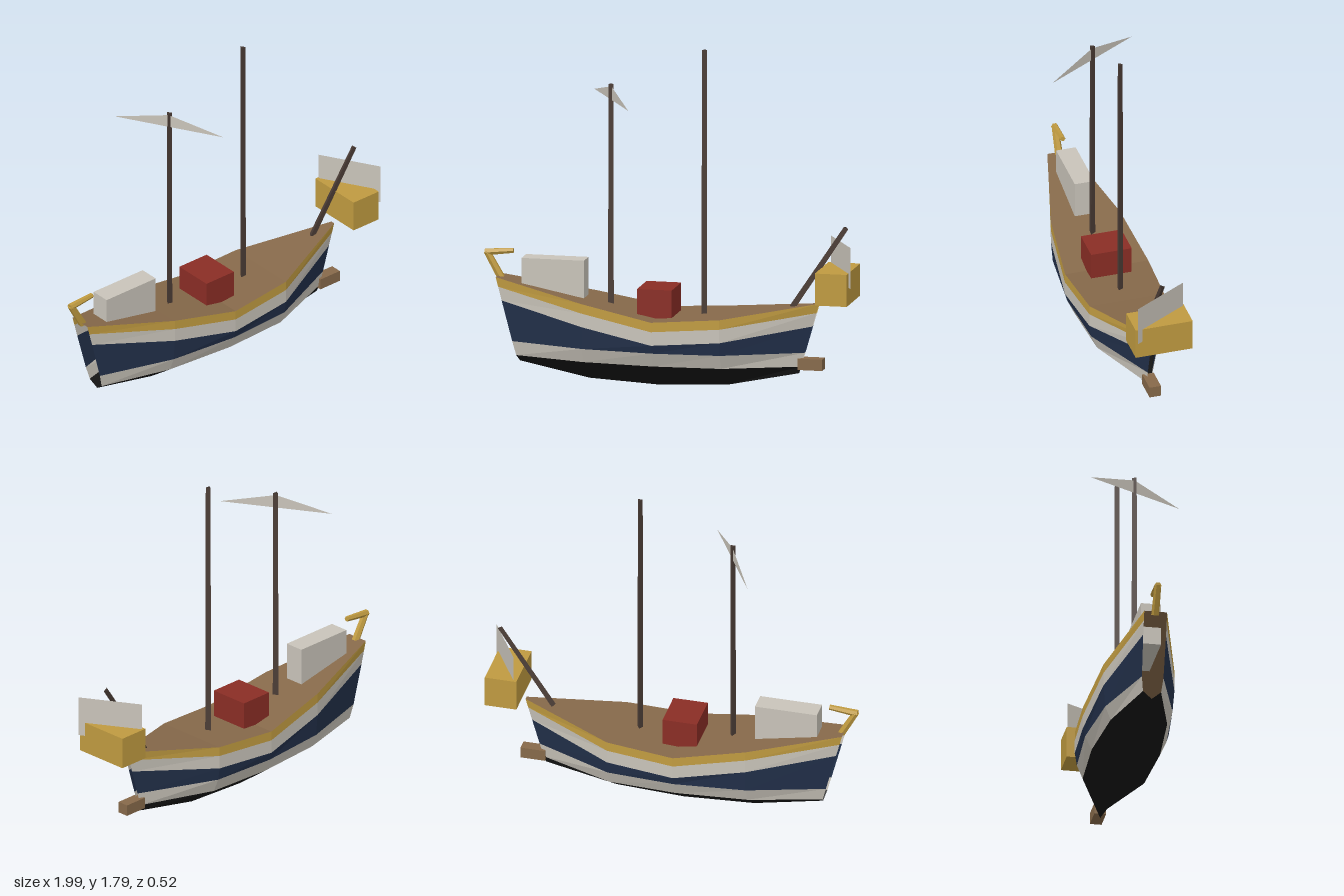
import * as THREE from 'three';

const mat = (name, color, opts = {}) => {
  const m = new THREE.MeshStandardMaterial({ color, flatShading: true, side: THREE.DoubleSide, ...opts });
  m.name = name;
  return m;
};

export function createModel() {
  const boat = new THREE.Group();
  boat.name = 'sailingBoat';

  const white = mat('offWhite', 0xc8c3b9);
  const gold = mat('ochre', 0xbf9a40);
  const navy = mat('navy', 0x22304a);
  const black = mat('tarBlack', 0x151515);
  const wood = mat('deckWood', 0x86694a);
  const dark = mat('darkWood', 0x4b3d36);
  const red = mat('red', 0x8a2d25);

  const add = (name, geometry, material) => {
    const mesh = new THREE.Mesh(geometry, material);
    mesh.name = name;
    boat.add(mesh);
    return mesh;
  };

  // Box given by its lower and upper corners
  const box = (name, material, [x0, y0, z0], [x1, y1, z1]) =>
    add(name, new THREE.BoxGeometry(x1 - x0, y1 - y0, z1 - z0), material)
      .position.set((x0 + x1) / 2, (y0 + y1) / 2, (z0 + z1) / 2);

  // Tapered pole from a to b
  const pole = (name, material, a, b, r0, r1, sides, open) => {
    const from = new THREE.Vector3(...a), to = new THREE.Vector3(...b);
    const dir = to.clone().sub(from);
    const geo = new THREE.CylinderGeometry(r1, r0, dir.length(), sides, 1, open).rotateY(Math.PI);
    const mesh = add(name, geo, material);
    mesh.position.copy(from).add(to).multiplyScalar(0.5);
    mesh.quaternion.setFromUnitVectors(new THREE.Vector3(0, 1, 0), dir.normalize());
  };

  // Faceted surface between lines of points: pairs of [upper, lower]
  const strips = (name, material, pairs) => {
    const pos = [];
    for (const [up, low] of pairs) {
      for (let i = 0; i < up.length - 1; i++) {
        pos.push(...low[i], ...low[i + 1], ...up[i + 1], ...low[i], ...up[i + 1], ...up[i]);
      }
    }
    const geo = new THREE.BufferGeometry();
    geo.setAttribute('position', new THREE.Float32BufferAttribute(pos, 3));
    geo.computeVertexNormals();
    add(name, geo, material);
  };

  // Hull stations: x, rail height, half width, keel height
  const stations = [
    [-0.80, 0.543, 0.06, 0.095],
    [-0.43, 0.447, 0.187, 0.02],
    [-0.05, 0.373, 0.226, 0.0],
    [0.31, 0.398, 0.203, 0.017],
    [0.69, 0.47, 0.011, 0.095],
  ];
  const widths = [1, 1.005, 1.005, 0.95, 0.8, 0];
  const line = (row, side) => stations.map(([x, top, half, keel], i) => {
    const y = [top, top - 0.05, top - 0.122, 0.207, 0.132, keel][row];
    // Raked stern and stem
    const rake = i === 0 ? -0.26 : i === stations.length - 1 ? 0.29 : 0;
    const w = rake > 0 && row < 5 ? 1 : widths[row];
    return [x + rake * (y - keel), y, side * half * w];
  });

  // Hull bands from rail to keel, open at both ends
  const bands = [['railBand', gold], ['upperBand', white], ['navyBand', navy],
    ['lowerBand', white], ['hullBottom', black]];
  bands.forEach(([name, material], r) => strips(name, material, [
    [line(r, 1), line(r + 1, 1)],
    [line(r + 1, -1), line(r, -1)],
  ]));
  strips('deck', wood, [[line(0, -1), line(0, 1)]]);

  // Deck structures
  box('redHatch', red, [-0.15, 0.36, -0.11], [0.035, 0.525, 0.11]);
  box('whiteCabin', white, [-0.78, 0.42, -0.053], [-0.447, 0.65, 0.053]);

  // Three-sided masts and bowsprit
  pole('aftMast', dark, [-0.313, 0.32, 0], [-0.313, 1.585, 0], 0.018, 0.015, 3, true);
  pole('mainMast', dark, [0.186, 0.32, 0], [0.186, 1.788, 0], 0.018, 0.015, 3, true);
  pole('bowsprit', dark, [0.655, 0.445, 0], [0.942, 0.877, 0], 0.018, 0.015, 3, true);

  // Small triangular sail at the aft masthead
  strips('mastSail', white, [[
    [[-0.313, 1.572, 0], [-0.313, 1.572, 0]],
    [[-0.464, 1.5, -0.262], [-0.162, 1.5, 0.262]],
  ]]);

  // Bow box with an upright panel set diagonally through it
  box('bowBox', gold, [0.81, 0.49, -0.155], [0.98, 0.66, 0.155]);
  strips('bowPanel', white, [[
    [[0.826, 0.803, -0.148], [0.998, 0.803, 0.148]],
    [[0.826, 0.585, -0.148], [0.998, 0.585, 0.148]],
  ]]);
  box('stemBlock', wood, [0.688, 0.118, -0.031], [0.82, 0.178, 0.031]);

  // Bent stern ornament
  pole('sternPost', gold, [-0.9, 0.53, 0], [-0.978, 0.668, 0], 0.021, 0.018, 6, false);
  pole('sternArm', gold, [-0.985, 0.662, 0], [-0.835, 0.677, 0], 0.019, 0.014, 6, false);

  return boat;
}
